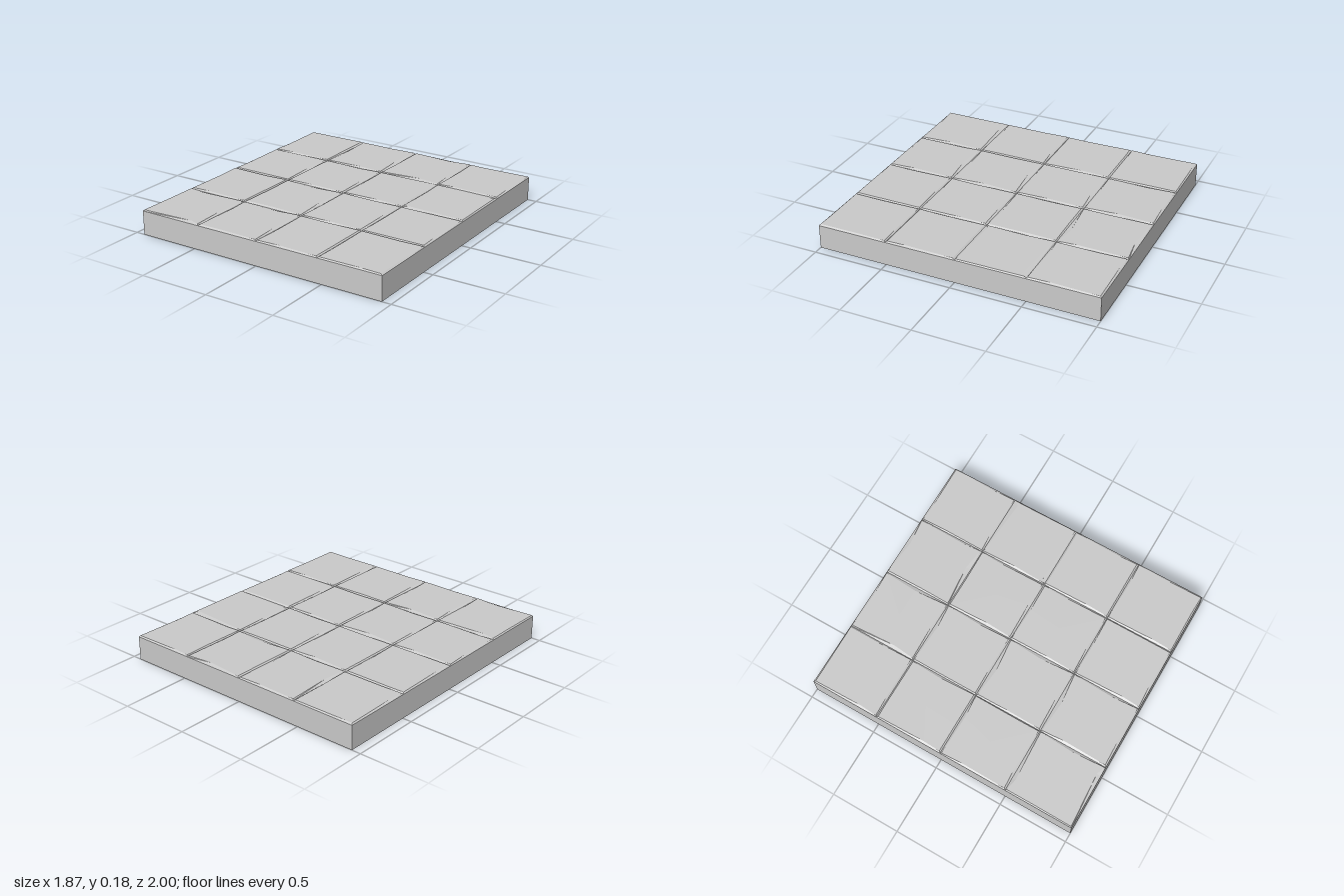
import * as THREE from 'three';

const W = 1.87, D = 2, EDGE_Y = 0.17, TOP_Y = 0.178, N = 4;

// Small repeatable number source for the worn edges
function seeded(seed) {
  return () => {
    seed = (seed * 16807) % 2147483647;
    return seed / 2147483647;
  };
}

// Larger worn edges: row (from the back), column, side -> [position along the edge, depth].
// Sides run anticlockwise from above: 0 front, 1 right, 2 back, 3 left.
const WEAR = {
  '0,2,0': [0.65, 0.035], '1,3,2': [0.06, 0.04], '1,3,0': [0.08, 0.028],
  '2,1,2': [0.55, 0.032], '0,2,2': [0.42, 0.03], '1,1,2': [0.4, 0.024],
  '2,1,0': [0.5, 0.018], '3,1,2': [0.5, 0.03], '3,0,0': [0.85, 0.03],
  '0,1,3': [0.68, 0.026], '3,0,1': [0.5, 0.02], '2,1,1': [0.5, 0.024],
  '0,1,1': [0.5, 0.026], '3,0,2': [0.8, 0.026], '0,0,2': [0.9, 0.012],
};

// One stone: a level top with uneven chamfers down to the joints
function stoneGeometry(row, col, rand) {
  const w = W / N, d = D / N;
  const corners = [[-w / 2, d / 2], [w / 2, d / 2], [w / 2, -d / 2], [-w / 2, -d / 2]];
  const inward = [[0, -1], [-1, 0], [0, 1], [1, 0]];
  const outer = [], inner = [];
  for (let s = 0; s < 4; s++) {
    const a = corners[s], b = corners[(s + 1) % 4], n = inward[s], p = inward[(s + 3) % 4];
    const i = 0.006 + rand() * 0.006, j = 0.006 + rand() * 0.006;
    outer.push([a[0], EDGE_Y, a[1]]);
    inner.push([a[0] + n[0] * i + p[0] * j, TOP_Y, a[1] + n[1] * i + p[1] * j]);
    const [t, depth] = WEAR[[row, col, s]] ?? [0.25 + rand() * 0.5, 0.009 + rand() * 0.01];
    const x = a[0] + (b[0] - a[0]) * t, z = a[1] + (b[1] - a[1]) * t;
    outer.push([x, EDGE_Y, z]);
    inner.push([x + n[0] * depth, TOP_Y, z + n[1] * depth]);
  }
  const pos = [], centre = [0, TOP_Y, 0];
  for (let k = 0; k < 8; k++) {
    const m = (k + 1) % 8;
    pos.push(...outer[k], ...outer[m], ...inner[m]);
    pos.push(...outer[k], ...inner[m], ...inner[k]);
    pos.push(...centre, ...inner[k], ...inner[m]);
  }
  const g = new THREE.BufferGeometry();
  g.setAttribute('position', new THREE.Float32BufferAttribute(pos, 3));
  g.computeVertexNormals();
  return g;
}

export function createModel() {
  const group = new THREE.Group();
  group.name = 'pavedFloorTile';
  const material = new THREE.MeshStandardMaterial({ color: 0xcccccc, flatShading: true });

  // Slab sides and underside; the stones close its top
  const slabGeometry = new THREE.BoxGeometry(W, EDGE_Y, D);
  const index = Array.from(slabGeometry.index.array);
  index.splice(12, 6);
  slabGeometry.setIndex(index);
  slabGeometry.clearGroups();
  const slab = new THREE.Mesh(slabGeometry, material);
  slab.name = 'slab';
  slab.position.y = EDGE_Y / 2;
  group.add(slab);

  // Four by four paving stones
  const stones = new THREE.Group();
  stones.name = 'pavingStones';
  const rand = seeded(77);
  for (let row = 0; row < N; row++) {
    for (let col = 0; col < N; col++) {
      const stone = new THREE.Mesh(stoneGeometry(row, col, rand), material);
      stone.name = `stoneRow${row + 1}Column${col + 1}`;
      stone.position.set((col + 0.5) * W / N - W / 2, 0, (row + 0.5) * D / N - D / 2);
      stones.add(stone);
    }
  }
  group.add(stones);
  return group;
}
